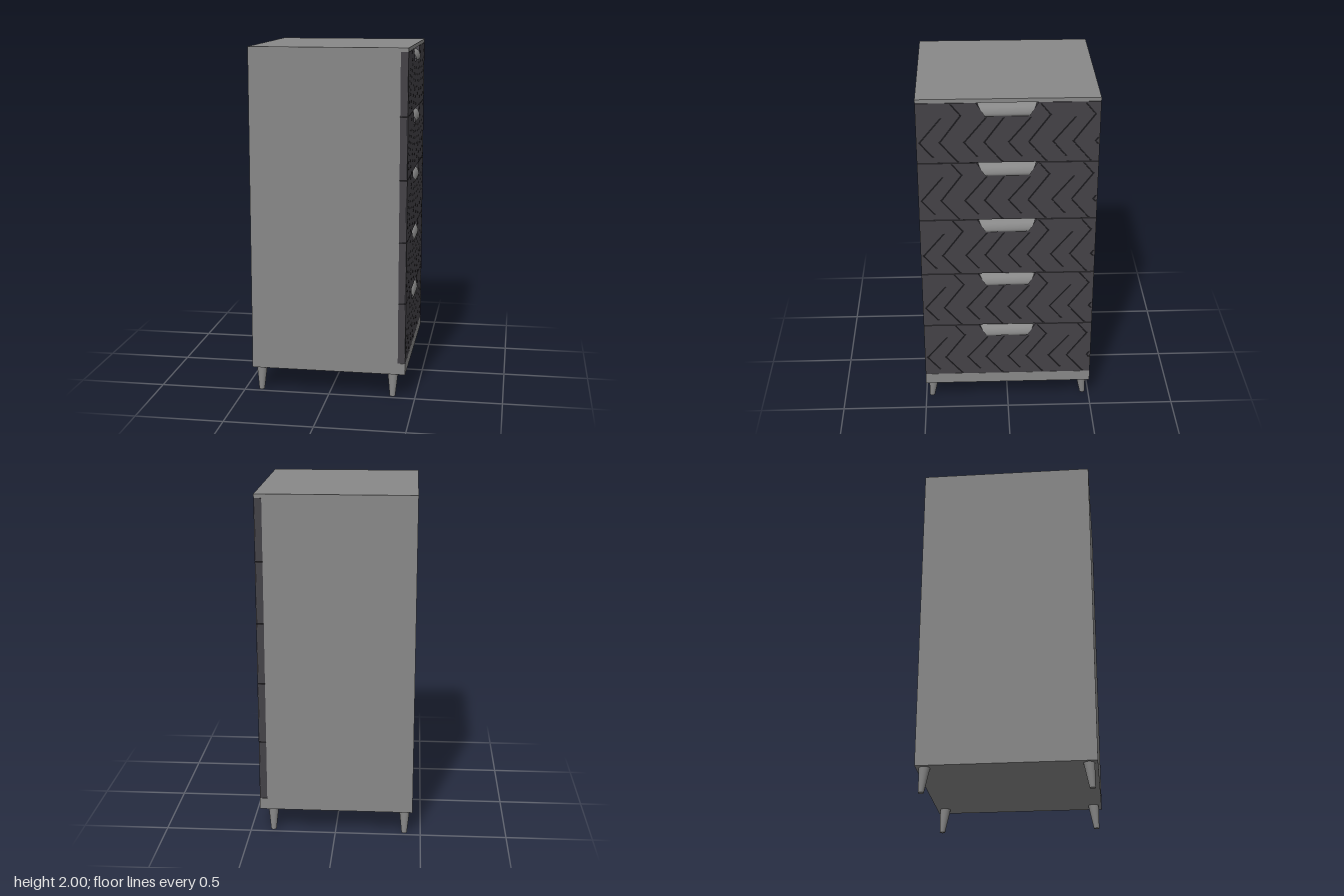
import * as THREE from 'three';

const grey = new THREE.MeshStandardMaterial({ color: 0x888888 });
const greyDouble = new THREE.MeshStandardMaterial({ color: 0x888888, side: THREE.DoubleSide });
const dark = new THREE.MeshStandardMaterial({ color: 0x444247 });
const shadow = new THREE.MeshStandardMaterial({ color: 0x242327 });

const HALF = 0.497;          // half width of the chest along z
const BACK = -0.452, CARCASS = 0.4, FACE = 0.443;
const DRAWER_H = 0.351, PITCH = 0.3545, FIRST = 0.2075;
const NOTCH = { z: 0.005, top: 0.168, bottom: 0.12, depth: 0.075 };

function add(parent, name, geometry, material) {
  const mesh = new THREE.Mesh(geometry, material);
  mesh.name = name;
  parent.add(mesh);
  return mesh;
}

function box(parent, name, x0, x1, y0, y1) {
  const mesh = add(parent, name, new THREE.BoxGeometry(x1 - x0, y1 - y0, HALF * 2), grey);
  mesh.position.set((x0 + x1) / 2, (y0 + y1) / 2, 0);
}

// Drawer outline with the handle notch; the shape's u axis is -z, y = 0 is the drawer top
function drawerShape() {
  const { z, top, bottom, depth } = NOTCH;
  return new THREE.Shape([
    [-HALF, -DRAWER_H], [HALF, -DRAWER_H], [HALF, 0], [-z + top, 0],
    [-z + bottom, -depth], [-z - bottom, -depth], [-z - top, 0], [-HALF, 0],
  ].map(([u, v]) => new THREE.Vector2(u, v)));
}

// Zigzag groove as a ribbon-shaped hole through [z, y] points
function groove(points, w = 0.005) {
  const side = (s) => points.map(([z, y]) => new THREE.Vector2(-z + s * w, y));
  return new THREE.Path([...side(-1), ...side(1).reverse()]);
}

function grooves() {
  const holes = [];
  for (let k = 0; k < 4; k++) {
    const d = k * 0.2415;
    const long = [[0.308, -0.005], [0.255, -0.07], [0.371, -0.228], [0.272, -0.346]];
    if (k === 1) long.splice(0, 2, [0.266, -0.085]);   // stops below the notch
    const short = [[0.362, -0.085], [0.48, -0.228], [0.408, -0.315]];
    for (const line of [long, short]) holes.push(groove(line.map(([z, y]) => [z - d, y])));
  }
  holes.push(groove([[-0.488, -0.208], [-0.474, -0.228], [-0.488, -0.246]]));
  return holes;
}

function slab(shape, x0, x1) {
  const geometry = new THREE.ExtrudeGeometry(shape, { depth: x1 - x0, bevelEnabled: false });
  return geometry.rotateY(Math.PI / 2).translate(x0, 0, 0);
}

// Curved pull lofted across the notch, narrowing with its slanted sides
function handleGeometry() {
  const profile = [
    [0.402, -0.012], [0.42, -0.017], [0.434, -0.024], [0.443, -0.034],
    [0.449, -0.047], [0.452, -0.06], [0.451, -0.07], [0.446, -0.076],
  ];
  const pos = [], index = [];
  profile.forEach(([x, y], i) => {
    const half = NOTCH.top + (NOTCH.bottom - NOTCH.top) * Math.min(1, -y / NOTCH.depth);
    pos.push(x, y, NOTCH.z + half, x, y, NOTCH.z - half);
    if (i) {
      const a = 2 * (i - 1);
      index.push(a, a + 2, a + 1, a + 1, a + 2, a + 3);
    }
  });
  const geometry = new THREE.BufferGeometry();
  geometry.setAttribute('position', new THREE.Float32BufferAttribute(pos, 3));
  geometry.setIndex(index);
  geometry.computeVertexNormals();
  return geometry;
}

// Tapered round leg, sheared so its foot leans outward along z
function legGeometry(side) {
  const geometry = new THREE.CylinderGeometry(0.031, 0.016, 0.14, 24).translate(0, 0.07, 0);
  const p = geometry.attributes.position;
  for (let i = 0; i < p.count; i++) p.setZ(i, p.getZ(i) + side * 0.015 * (1 - p.getY(i) / 0.14));
  geometry.computeVertexNormals();
  return geometry;
}

export function createModel() {
  const model = new THREE.Group();
  model.name = 'chestOfDrawers';

  // Carcass with overhanging top and plinth
  box(model, 'carcass', BACK, CARCASS, 0.14, 2);
  box(model, 'topBoard', CARCASS, FACE, 1.978, 2);
  box(model, 'plinth', CARCASS, FACE, 0.14, 0.2065);

  // Five identical drawers facing +x: backing, shaded groove floor, carved front
  const backing = slab(drawerShape(), CARCASS, FACE - 0.007);
  const floor = slab(drawerShape(), FACE - 0.007, FACE - 0.006);
  const carved = drawerShape();
  carved.holes = grooves();
  const front = slab(carved, FACE - 0.006, FACE);
  const handle = handleGeometry();
  for (let i = 0; i < 5; i++) {
    const drawer = new THREE.Group();
    drawer.name = 'drawer' + (i + 1);
    drawer.position.y = FIRST + DRAWER_H + i * PITCH;
    add(drawer, 'drawerBacking', backing, dark);
    add(drawer, 'grooveFloor', floor, shadow);
    add(drawer, 'carvedFront', front, dark);
    add(drawer, 'handle', handle, greyDouble);
    model.add(drawer);
  }

  // Four splayed legs
  for (const x of [-0.405, 0.368]) {
    for (const side of [-1, 1]) {
      add(model, 'leg', legGeometry(side), grey).position.set(x, 0, side * 0.449);
    }
  }
  return model;
}
